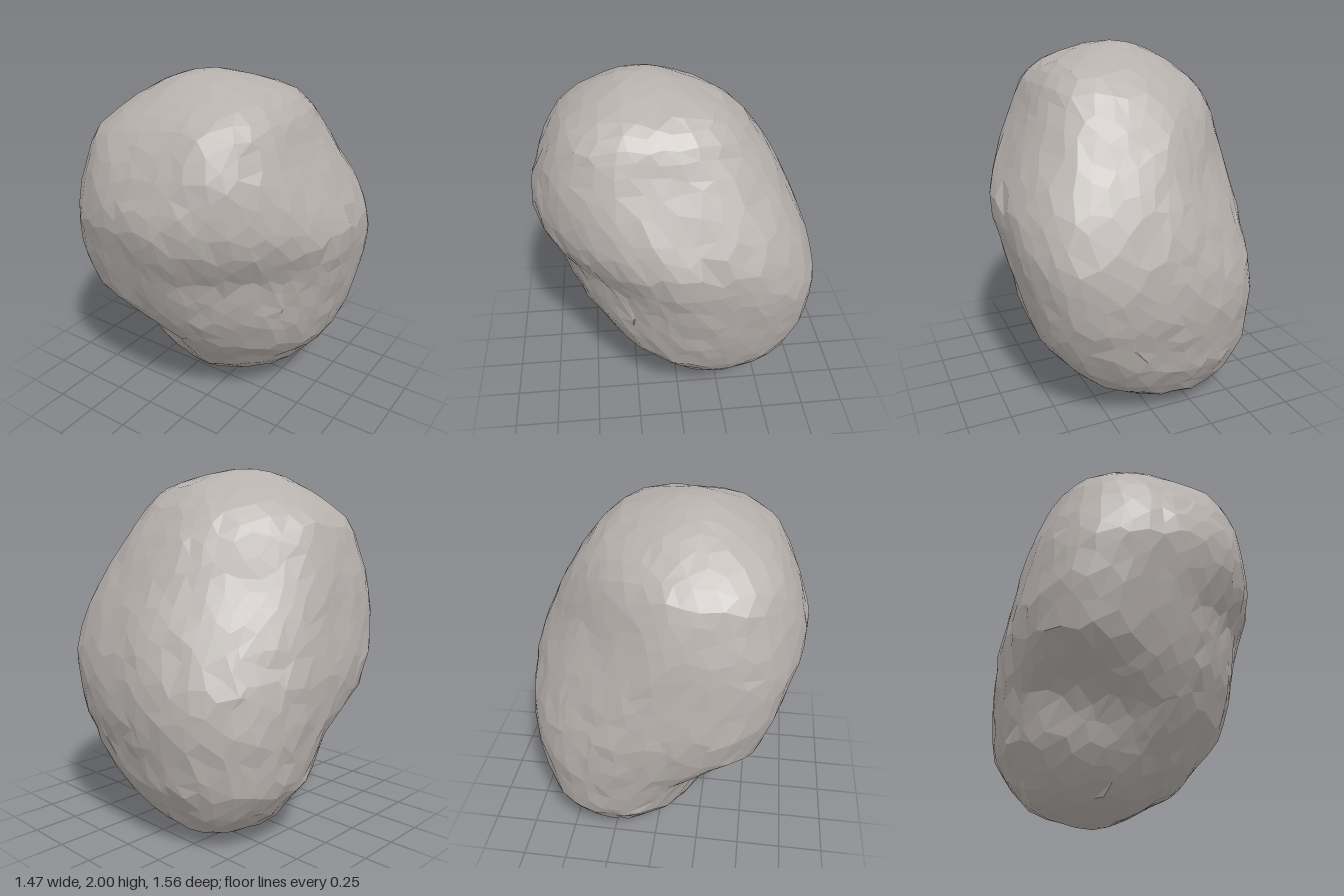
import * as THREE from 'three';
import { mergeVertices } from 'three/addons/utils/BufferGeometryUtils.js';

// Leaning profile of the boulder: height, x min, x max, z min, z max
const PROFILE = [
  [0, -0.1, -0.1, -0.27, -0.27],
  [0.04, -0.35, 0.06, -0.42, -0.05],
  [0.1, -0.48, 0.17, -0.53, 0.08],
  [0.2, -0.58, 0.35, -0.61, 0.19],
  [0.35, -0.68, 0.48, -0.69, 0.31],
  [0.5, -0.7, 0.59, -0.72, 0.42],
  [0.7, -0.73, 0.64, -0.77, 0.56],
  [0.9, -0.74, 0.68, -0.775, 0.65],
  [1.05, -0.73, 0.7, -0.75, 0.7],
  [1.2, -0.71, 0.71, -0.7, 0.75],
  [1.3, -0.7, 0.69, -0.66, 0.775],
  [1.4, -0.68, 0.65, -0.61, 0.775],
  [1.6, -0.62, 0.55, -0.51, 0.71],
  [1.7, -0.585, 0.5, -0.44, 0.66],
  [1.8, -0.48, 0.46, -0.36, 0.59],
  [1.9, -0.33, 0.37, -0.23, 0.45],
  [1.95, -0.23, 0.23, -0.1, 0.35],
  [2, -0.03, -0.03, 0.16, 0.16],
];

// Squareness of each corner at heights 0.2, 0.6, 1.0, 1.4 and 1.8
const CORNERS = {
  frontLeft: [2, 1.85, 1.5, 1.9, 3],
  backLeft: [2.3, 3.1, 3.6, 3.2, 2.8],
  frontRight: [1.9, 2.4, 3.7, 2.8, 2.8],
  backRight: [2.4, 2.4, 1.75, 1.5, 1.65],
};

// Hollows and bulges: centre, spread along each axis, push (negative = inwards)
const DENTS = [
  { at: [-0.55, 0.5, 0.32], size: [0.2, 0.17, 0.3], push: -0.08 },
  { at: [-0.27, 0.42, 0.35], size: [0.16, 0.13, 0.25], push: -0.05 },
  { at: [-0.45, 0.79, 0.5], size: [0.25, 0.08, 0.25], push: 0.03 },
  { at: [0.71, 1.18, 0], size: [0.15, 0.12, 0.15], push: 0.025 },
  { at: [0.3, 0.95, 0.55], size: [0.3, 0.14, 0.25], push: -0.015 },
];

function seeded(seed) {
  return () => {
    seed = (seed * 16807) % 2147483647;
    return seed / 2147483647 - 0.5;
  };
}

// Extents at a height, blended by polar angle so that both ends stay round
function extentsAt(y) {
  const polar = (h) => Math.acos(THREE.MathUtils.clamp(1 - h, -1, 1));
  let i = 1;
  while (i < PROFILE.length - 1 && PROFILE[i][0] < y) i++;
  const a = PROFILE[i - 1], b = PROFILE[i];
  const t = (polar(y) - polar(a[0])) / (polar(b[0]) - polar(a[0]));
  return a.map((v, k) => THREE.MathUtils.lerp(v, b[k], t));
}

function squarenessAt(corner, y) {
  const f = THREE.MathUtils.clamp((y - 0.2) / 0.4, 0, 3.999);
  const i = Math.floor(f);
  return THREE.MathUtils.lerp(corner[i], corner[i + 1], f - i);
}

// Map a unit direction to the boulder: a squarish oval section at each height
function surfacePoint(d) {
  const y = 1 + d.y;
  const [, x0, x1, z0, z1] = extentsAt(y);
  const len = Math.hypot(d.x, d.z) || 1;
  const c = d.x / len, s = d.z / len;
  const name = (s > 0 ? 'front' : 'back') + (c > 0 ? 'Left' : 'Right');
  const n = squarenessAt(CORNERS[name], y);
  const r = (Math.abs(c) ** n + Math.abs(s) ** n) ** (-1 / n);
  return new THREE.Vector3(
    (x0 + x1) / 2 + (r * c * (x1 - x0)) / 2, y,
    (z0 + z1) / 2 + (r * s * (z1 - z0)) / 2);
}

export function createModel() {
  const ball = new THREE.IcosahedronGeometry(1, 9);
  ball.deleteAttribute('normal');
  ball.deleteAttribute('uv');
  const geometry = mergeVertices(ball, 1e-4);
  const pos = geometry.attributes.position;
  const rnd = seeded(4711);
  const d = new THREE.Vector3(), out = new THREE.Vector3();

  for (let i = 0; i < pos.count; i++) {
    // uneven facets
    d.fromBufferAttribute(pos, i);
    d.add(new THREE.Vector3(rnd(), rnd(), rnd()).multiplyScalar(0.07)).normalize();
    const p = surfacePoint(d);
    out.set(p.x, (p.y - 1) * 0.8, p.z).normalize();

    // large hollows, then broad lumps and small chips
    let push = 0;
    for (const { at, size, push: amount } of DENTS) {
      const q = p.toArray().reduce((sum, v, k) => sum + ((v - at[k]) / size[k]) ** 2, 0);
      push += amount * Math.exp(-q);
    }
    push += 0.004 * Math.sin(7 * p.x + 3 * p.y) * Math.sin(6 * p.y - 5 * p.z + 1);
    push += THREE.MathUtils.lerp(0.018, 0.006, p.y / 2) * rnd();
    p.addScaledVector(out, push);
    pos.setXYZ(i, p.x, THREE.MathUtils.clamp(p.y, 0, 2), p.z);
  }
  geometry.computeVertexNormals();

  const boulder = new THREE.Mesh(geometry,
    new THREE.MeshStandardMaterial({ color: 0xb7b1ad, flatShading: true }));
  boulder.name = 'boulder';
  const group = new THREE.Group();
  group.name = 'rock';
  group.add(boulder);
  return group;
}
